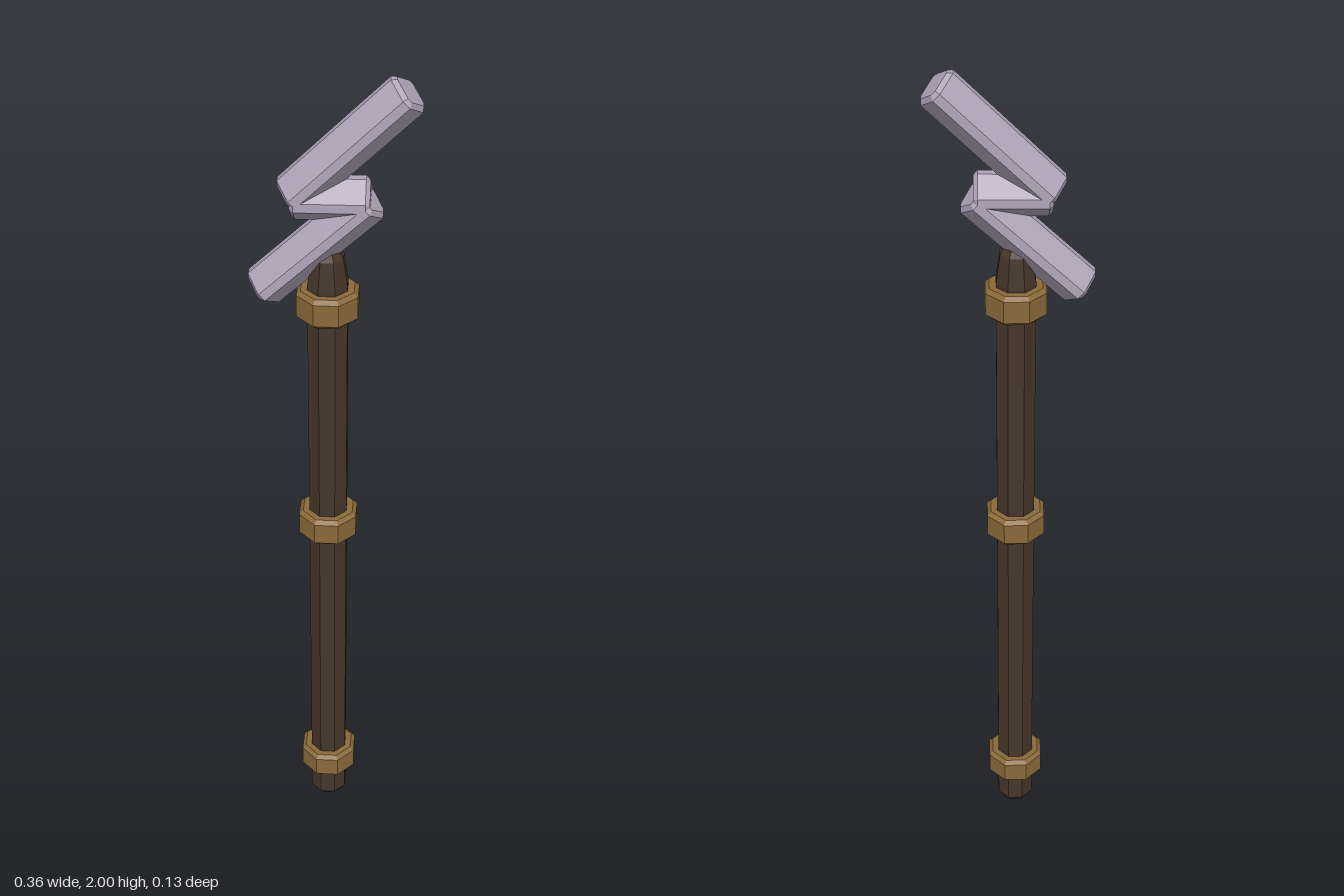
import * as THREE from 'three';

const material = (color) => new THREE.MeshStandardMaterial({ color, flatShading: true });

// Eight-sided turned part; flats face the axes, profile is [apothem, y] from bottom to top
function octagonal(name, profile, mat) {
  const k = 1 / Math.cos(Math.PI / 8);
  const points = profile.map(([r, y]) => new THREE.Vector2(r * k, y));
  const geometry = new THREE.LatheGeometry(points, 8, Math.PI / 8);
  const mesh = new THREE.Mesh(geometry, mat);
  mesh.name = name;
  mesh.position.x = -0.012;
  return mesh;
}

// Bevelled bar of diamond section, running between two points in the xy plane
function diamondBar(name, [x0, y0], [x1, y1], mat) {
  const u = 0.047, w = 0.052, c = 0.01, bevel = 0.009;
  const shape = new THREE.Shape([
    [u, -c], [u, c], [c, w], [-c, w], [-u, c], [-u, -c], [-c, -w], [c, -w],
  ].map(([x, y]) => new THREE.Vector2(x, y)));
  const dir = new THREE.Vector3(x1 - x0, y1 - y0, 0);
  const length = dir.length();
  dir.normalize();
  const geometry = new THREE.ExtrudeGeometry(shape, {
    depth: length - 2 * bevel, bevelEnabled: true, bevelSegments: 1,
    bevelSize: bevel, bevelThickness: bevel, bevelOffset: -bevel,
  });
  geometry.translate(0, 0, bevel);
  const across = new THREE.Vector3(-dir.y, dir.x, 0);
  geometry.applyMatrix4(new THREE.Matrix4()
    .makeBasis(across, new THREE.Vector3(0, 0, 1), dir)
    .setPosition(x0, y0, 0));
  const mesh = new THREE.Mesh(geometry, mat);
  mesh.name = name;
  return mesh;
}

export function createModel() {
  const group = new THREE.Group();
  group.name = 'staff';
  const wood = material(0x46362a);
  const brass = material(0x8a6a3a);
  const metal = material(0xb0a6ba);

  // Shaft with bevelled foot and tapered tip
  group.add(octagonal('shaft', [
    [0, 0], [0.036, 0], [0.043, 0.012], [0.043, 1.535],
    [0.034, 1.6], [0.026, 1.615], [0, 1.615],
  ], wood));

  // Three bevelled collars
  for (const [name, y] of [['lowerCollar', 0.127], ['middleCollar', 0.9], ['upperCollar', 1.49]]) {
    const collar = octagonal(name, [
      [0.03, -0.035], [0.057, -0.035], [0.066, -0.026],
      [0.066, 0.026], [0.057, 0.035], [0.03, 0.035],
    ], brass);
    collar.position.y = y;
    group.add(collar);
  }

  // Zigzag head
  const head = new THREE.Group();
  head.name = 'zigzagHead';
  const path = [[-0.155, 1.516], [0.077, 1.737], [-0.089, 1.735], [0.152, 1.973]];
  ['lowerBar', 'middleBar', 'upperBar'].forEach((name, i) => {
    head.add(diamondBar(name, path[i], path[i + 1], metal));
  });
  group.add(head);
  return group;
}
